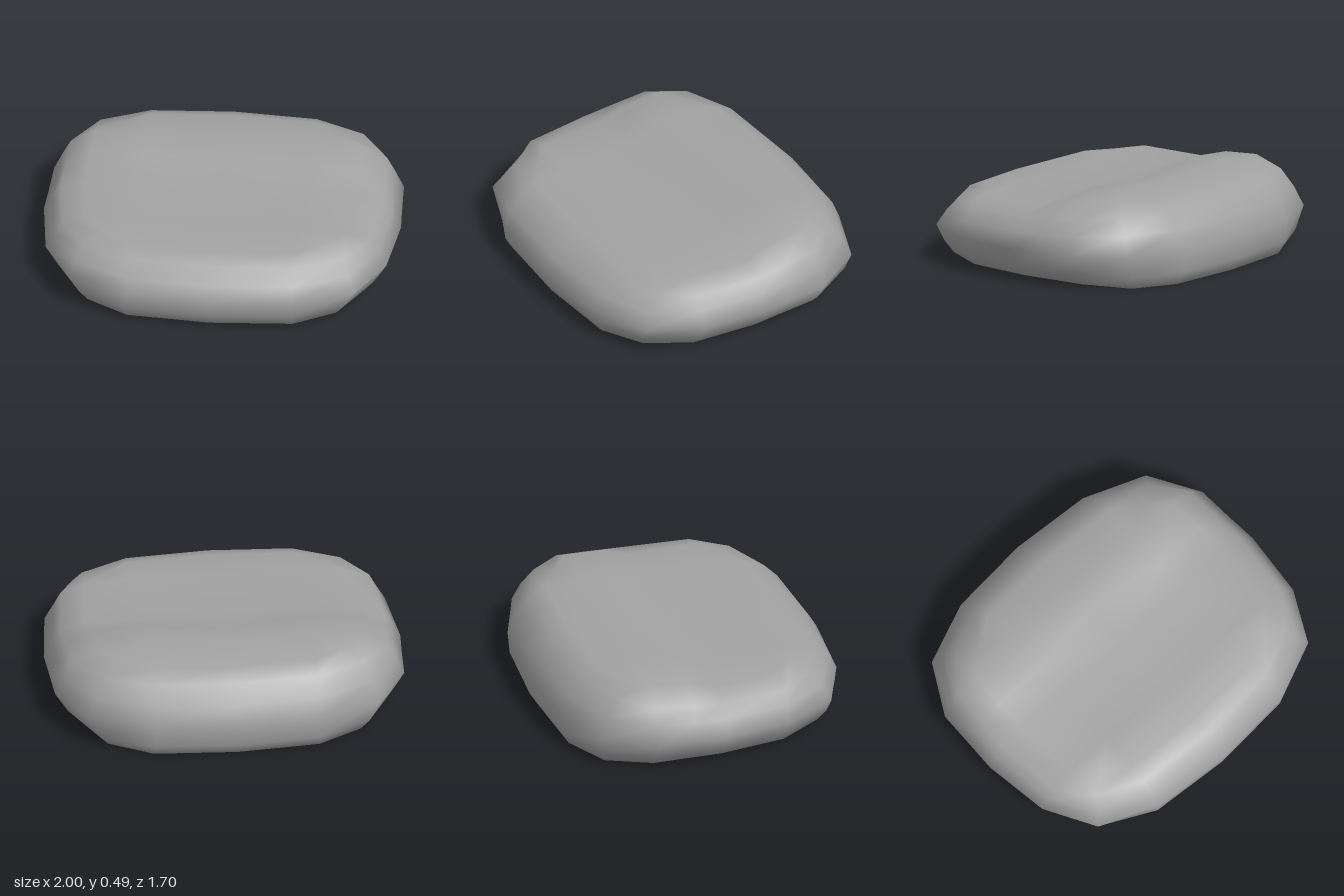
import * as THREE from 'three';

// Control grid: 5 columns (left to right) by 6 rows (front to back)
const COLS = 5, ROWS = 6;
const halfWidth = [0.8, 0.955, 1, 0.99, 0.98, 0.815];
const rowZ = [0, 0.38, 0, -0.17, -0.39, 0];
const frontZ = [0.67, 0.81, 0.845, 0.81, 0.67];
const backZ = [-0.675, -0.815, -0.85, -0.815, -0.675];

// Stacked rims, bottom to top: width scale, depth scale, height of each row
const rims = [
  { sx: 0.87, sz: 0.935, y: [0.028, 0.02, 0.018, 0.018, 0.018, 0.0] },
  { sx: 0.925, sz: 0.985, y: [0.1, 0.08, 0.075, 0.075, 0.075, 0.07] },
  { sx: 1, sz: 1, y: [0.2, 0.195, 0.19, 0.19, 0.195, 0.2] },
  { sx: 0.95, sz: 0.945, y: [0.28, 0.28, 0.28, 0.285, 0.3, 0.31] },
  { sx: 0.905, sz: 0.85, y: [0.36, 0.36, 0.355, 0.37, 0.385, 0.41] },
  { sx: 0.77, sz: 0.73, y: [0.395, 0.405, 0.39, 0.445, 0.462, 0.455] },
];
// Seat surface: low front pad, fold at the middle, raised back pad
const topY = [0.395, 0.42, 0.405, 0.472, 0.485, 0.455];

function gridPoint(i, j, rim) {
  const edge = i === 0 || i === COLS - 1;
  const x = edge ? Math.sign(i - 2) * halfWidth[j] * rim.sx : (i - 2) * 0.465;
  let z = rowZ[j];
  if (j === 0) z = frontZ[i] * rim.sz;
  if (j === ROWS - 1) z = backZ[i] * rim.sz;
  const inner = !edge && j > 0 && j < ROWS - 1;
  let y = inner ? topY[j] : rim.y[j];
  // The middle column sinks a little, and the fold bows back there
  if (inner && i === 2) {
    y -= 0.02;
    if (j === 3) z -= 0.07;
  }
  return [x, y, z];
}

// Grid border, counterclockwise seen from above
function border() {
  const list = [];
  for (let i = 0; i < COLS - 1; i++) list.push([i, 0]);
  for (let j = 0; j < ROWS - 1; j++) list.push([COLS - 1, j]);
  for (let i = COLS - 1; i > 0; i--) list.push([i, ROWS - 1]);
  for (let j = ROWS - 1; j > 0; j--) list.push([0, j]);
  return list;
}

function cushionGeometry() {
  const positions = [], index = [];
  const add = (p) => positions.push(...p) / 3 - 1;
  const quad = (a, b, c, d) => index.push(a, b, c, a, c, d);

  // Rounded sides
  const loop = border(), n = loop.length;
  const rings = rims.map((rim) => loop.map(([i, j]) => add(gridPoint(i, j, rim))));
  for (let r = 0; r < rings.length - 1; r++) {
    for (let k = 0; k < n; k++) {
      const m = (k + 1) % n;
      quad(rings[r][k], rings[r][m], rings[r + 1][m], rings[r + 1][k]);
    }
  }

  // Top, sharing the border of the highest rim
  const topRim = rims[rims.length - 1], topRing = rings[rings.length - 1];
  const top = [];
  for (let j = 0; j < ROWS; j++) {
    for (let i = 0; i < COLS; i++) {
      const k = loop.findIndex(([a, b]) => a === i && b === j);
      top.push(k >= 0 ? topRing[k] : add(gridPoint(i, j, topRim)));
    }
  }
  for (let j = 0; j < ROWS - 1; j++) {
    for (let i = 0; i < COLS - 1; i++) {
      const s = j * COLS + i;
      const [a, b, c, d] = [top[s], top[s + 1], top[s + COLS + 1], top[s + COLS]];
      // Diagonals run out to the four corners
      if ((i < 2) === (j < 2)) quad(a, b, c, d);
      else quad(b, c, d, a);
    }
  }

  // Flat underside
  const centre = add([0, 0.016, 0]);
  for (let k = 0; k < n; k++) index.push(rings[0][(k + 1) % n], rings[0][k], centre);

  const geometry = new THREE.BufferGeometry();
  geometry.setAttribute('position', new THREE.Float32BufferAttribute(positions, 3));
  geometry.setIndex(index);
  geometry.computeVertexNormals();
  return geometry;
}

export function createModel() {
  const group = new THREE.Group();
  group.name = 'cushion';
  const body = new THREE.Mesh(
    cushionGeometry(),
    new THREE.MeshStandardMaterial({ color: 0xa2a2a2 })
  );
  body.name = 'cushionBody';
  group.add(body);
  return group;
}
